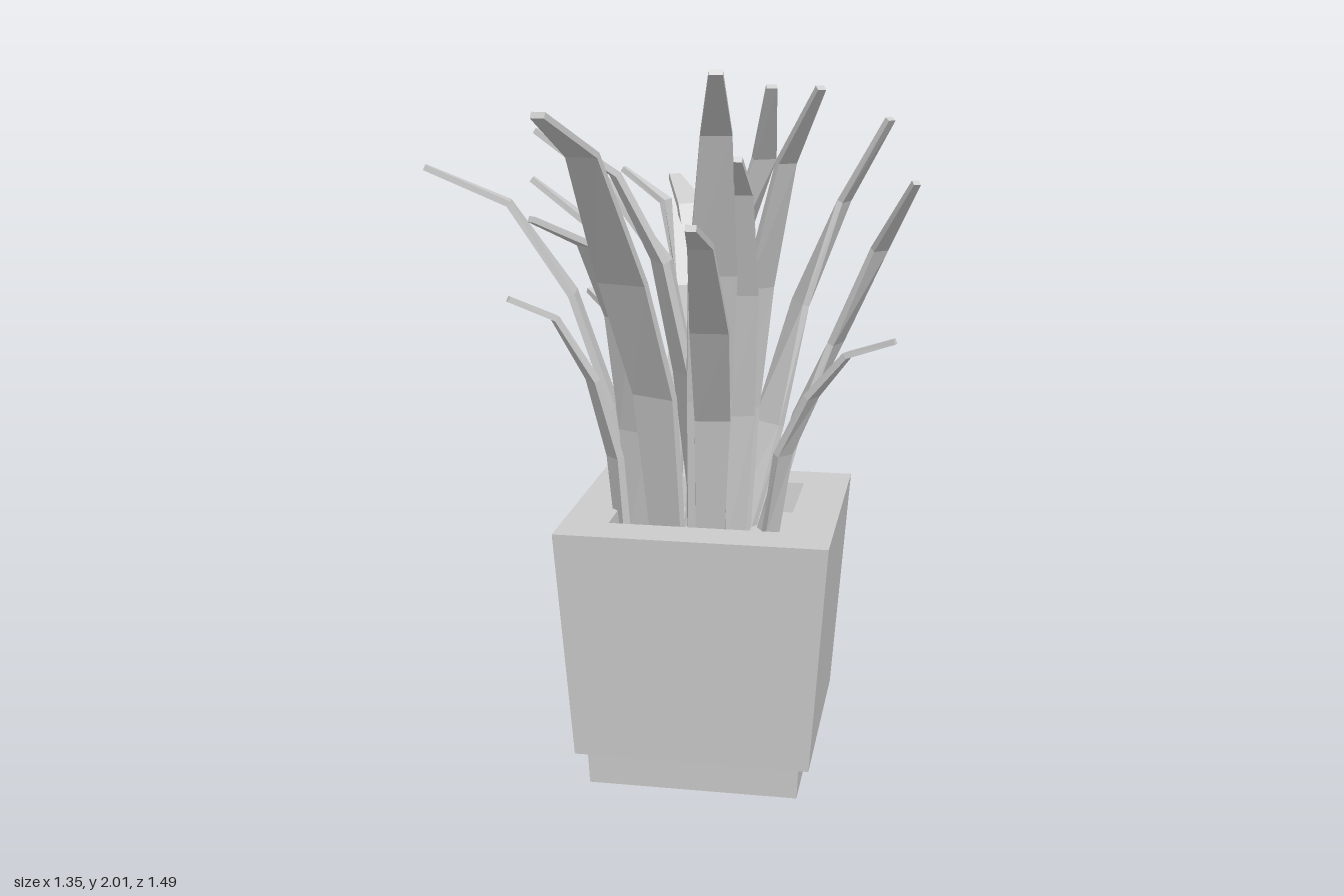
import * as THREE from 'three';

const material = new THREE.MeshStandardMaterial({ color: 0xcccccc, flatShading: true });
const CX = 0.1, CZ = -0.15; // pot centre

function faceted(geometry) {
  const g = geometry.toNonIndexed();
  g.computeVertexNormals();
  return g;
}

// Square pot: plinth, flared wall, flat rim, recessed soil
function createPot() {
  const profile = [[0, 0], [0.295, 0], [0.3, 0.1], [0.33, 0.1], [0.375, 0.76],
    [0.245, 0.76], [0.235, 0.67], [0, 0.67]];
  const points = profile.map(([half, y]) => new THREE.Vector2(half * Math.SQRT2, y));
  const pot = new THREE.Mesh(faceted(new THREE.LatheGeometry(points, 4, Math.PI / 4)), material);
  pot.position.set(CX, 0, CZ);
  pot.name = 'pot';
  return pot;
}

// Tapered strap leaf: a flat rectangular section swept along five joints
const TAPER = [0.75, 0.95, 1, 0.62, 0.26];

function createLeaf(width, joints) {
  const path = joints.map((p) => new THREE.Vector3(...p));
  const last = path.length - 1;
  const positions = [], index = [];
  path.forEach((p, i) => {
    const tangent = path[Math.min(i + 1, last)].clone().sub(path[Math.max(i - 1, 0)]).normalize();
    const side = new THREE.Vector3(tangent.z, 0, -tangent.x).normalize();
    const normal = tangent.clone().cross(side);
    const w = width * TAPER[i] / 2, t = 0.012 - 0.001 * i;
    for (const [a, b] of [[1, 1], [-1, 1], [-1, -1], [1, -1]]) {
      const v = p.clone().addScaledVector(side, a * w).addScaledVector(normal, b * t);
      positions.push(v.x, v.y, v.z);
    }
  });
  for (let i = 0; i < last; i++) {
    for (let k = 0; k < 4; k++) {
      const a = i * 4 + k, b = i * 4 + (k + 1) % 4;
      index.push(a, b, b + 4, a, b + 4, a + 4);
    }
  }
  const e = last * 4;
  index.push(0, 2, 1, 0, 3, 2, e, e + 1, e + 2, e, e + 2, e + 3);
  const g = new THREE.BufferGeometry();
  g.setAttribute('position', new THREE.Float32BufferAttribute(positions, 3));
  g.setIndex(index);
  const leaf = new THREE.Mesh(faceted(g), material);
  leaf.name = 'leaf';
  return leaf;
}

// Each leaf: width, then joints from root to tip
const backLeaves = [
  [0.14, [[0.15, 0.66, -0.25], [0.13, 0.95, -0.32], [0.07, 1.28, -0.41], [-0.03, 1.56, -0.58], [-0.11, 1.63, -0.74]]],
  [0.07, [[-0.12, 0.66, -0.28], [-0.14, 0.9, -0.36], [-0.18, 1.08, -0.43], [-0.25, 1.24, -0.5], [-0.35, 1.29, -0.59]]],
  [0.08, [[-0.04, 0.66, -0.24], [-0.03, 1.0, -0.29], [0.0, 1.35, -0.38], [-0.08, 1.59, -0.425], [-0.21, 1.68, -0.44]]],
  [0.11, [[0.06, 0.66, -0.2], [0.07, 1.05, -0.26], [0.13, 1.43, -0.29], [0.235, 1.74, -0.21], [0.27, 1.94, -0.07]]],
];
const leftLeaves = [
  [0.11, [[0.18, 0.66, -0.25], [0.24, 0.95, -0.36], [0.32, 1.3, -0.43], [0.44, 1.6, -0.445], [0.57, 1.84, -0.35]]],
  [0.08, [[0.25, 0.66, -0.2], [0.34, 1.0, -0.25], [0.44, 1.22, -0.26], [0.56, 1.5, -0.18], [0.66, 1.7, -0.02]]],
  [0.06, [[0.27, 0.66, -0.19], [0.31, 0.92, -0.13], [0.39, 1.1, -0.09], [0.49, 1.23, -0.04], [0.62, 1.28, 0.0]]],
  [0.09, [[0.18, 0.66, -0.16], [0.2, 1.05, -0.13], [0.24, 1.4, -0.09], [0.32, 1.75, 0.0], [0.42, 1.95, 0.14]]],
];
const rightLeaves = [
  [0.1, [[-0.1, 0.66, -0.18], [-0.12, 0.97, -0.25], [-0.17, 1.27, -0.3], [-0.28, 1.53, -0.315], [-0.45, 1.66, -0.3]]],
  [0.1, [[0.08, 0.66, -0.16], [0.04, 1.1, -0.16], [-0.03, 1.45, -0.16], [-0.2, 1.67, -0.16], [-0.4, 1.81, -0.16]]],
  [0.1, [[-0.12, 0.66, -0.1], [-0.17, 1.05, -0.09], [-0.28, 1.37, -0.08], [-0.45, 1.62, -0.05], [-0.67, 1.72, 0.01]]],
  [0.1, [[0.08, 0.66, -0.14], [0.03, 1.15, -0.1], [-0.03, 1.47, -0.06], [-0.14, 1.71, 0.0], [-0.28, 1.82, 0.08]]],
  [0.06, [[-0.13, 0.66, -0.04], [-0.15, 0.92, -0.02], [-0.2, 1.15, 0.03], [-0.29, 1.33, 0.09], [-0.4, 1.39, 0.16]]],
  [0.1, [[-0.08, 0.66, -0.04], [-0.09, 1.0, -0.01], [-0.12, 1.33, 0.05], [-0.19, 1.54, 0.14], [-0.3, 1.62, 0.28]]],
];
const frontLeaves = [
  [0.14, [[0.01, 0.66, 0.01], [-0.02, 1.12, 0.07], [-0.08, 1.45, 0.2], [-0.13, 1.8, 0.43], [-0.18, 1.91, 0.66]]],
  [0.1, [[0.13, 0.66, 0.05], [0.15, 1.08, 0.14], [0.165, 1.35, 0.3], [0.18, 1.6, 0.54], [0.19, 1.67, 0.74]]],
  [0.13, [[0.1, 0.66, -0.06], [0.12, 1.1, 0.01], [0.14, 1.46, 0.09], [0.17, 1.84, 0.24], [0.2, 2.0, 0.45]]],
  [0.08, [[0.18, 0.66, -0.08], [0.2, 1.05, -0.04], [0.215, 1.4, 0.03], [0.225, 1.68, 0.13], [0.23, 1.78, 0.27]]],
];

export function createModel() {
  const model = new THREE.Group();
  model.name = 'pottedPlant';
  const clumps = { backLeaves, leftLeaves, rightLeaves, frontLeaves };
  for (const [name, leaves] of Object.entries(clumps)) {
    const clump = new THREE.Group();
    clump.name = name;
    leaves.forEach(([width, joints]) => clump.add(createLeaf(width, joints)));
    model.add(clump);
  }
  model.add(createPot());
  return model;
}
